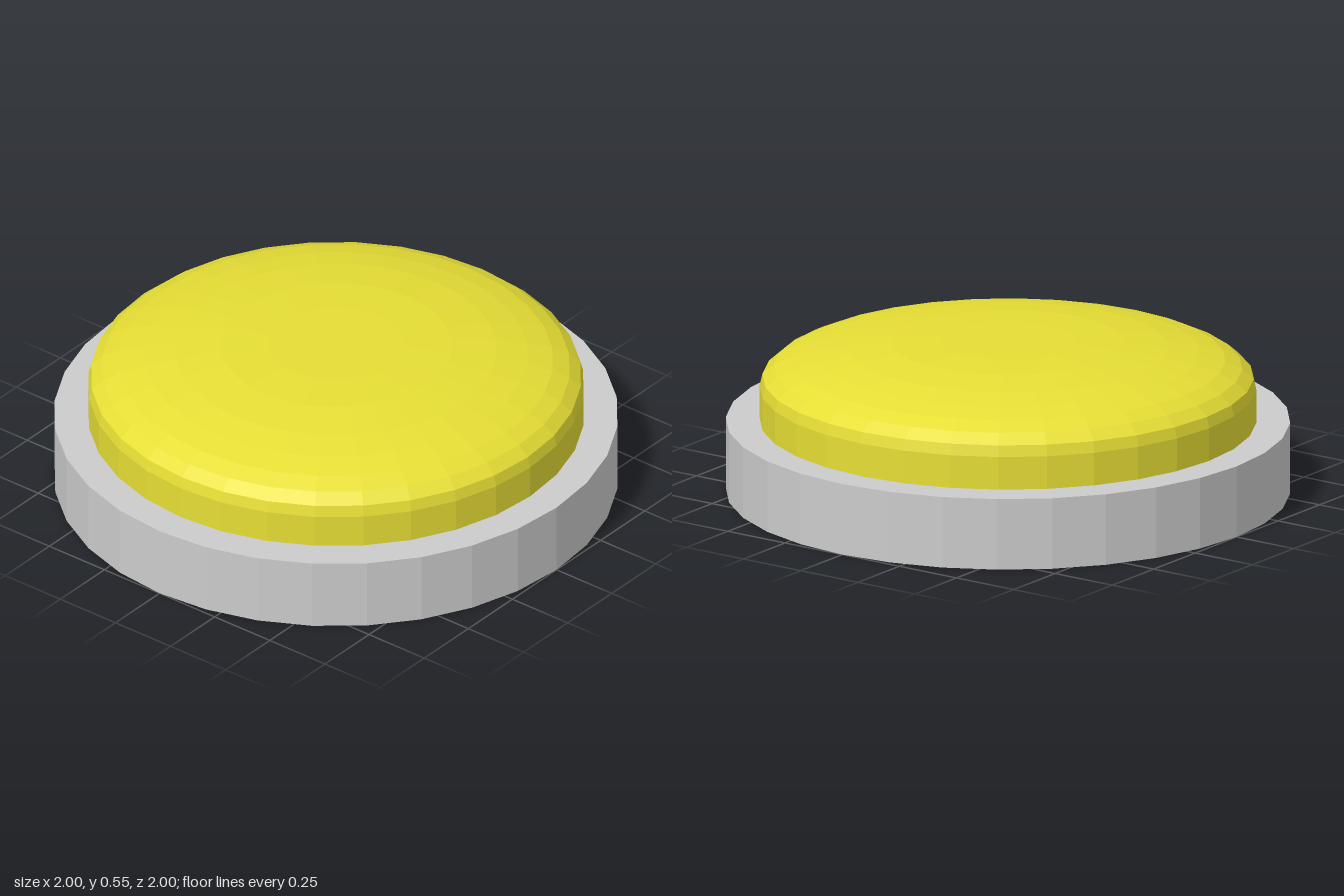
import * as THREE from 'three';

const SIDES = 32;

export function createModel() {
  const group = new THREE.Group();
  const grey = new THREE.MeshStandardMaterial({ color: 0xcccccc, flatShading: true });
  const yellow = new THREE.MeshStandardMaterial({ color: 0xe6de35, flatShading: true });

  // Round base plate
  const base = new THREE.Mesh(new THREE.CylinderGeometry(1, 1, 0.26, SIDES), grey);
  base.name = 'base';
  base.position.y = 0.13;
  group.add(base);

  // Push cap: straight rim rounding over into an almost flat top
  const profile = [
    [0.88, 0.26], [0.88, 0.38], [0.87, 0.42], [0.83, 0.455], [0.77, 0.483],
    [0.68, 0.507], [0.57, 0.528], [0.41, 0.546], [0.24, 0.552], [0, 0.552],
  ].map(([r, y]) => new THREE.Vector2(r, y));
  const cap = new THREE.Mesh(new THREE.LatheGeometry(profile, SIDES), yellow);
  cap.name = 'buttonCap';
  group.add(cap);

  return group;
}
